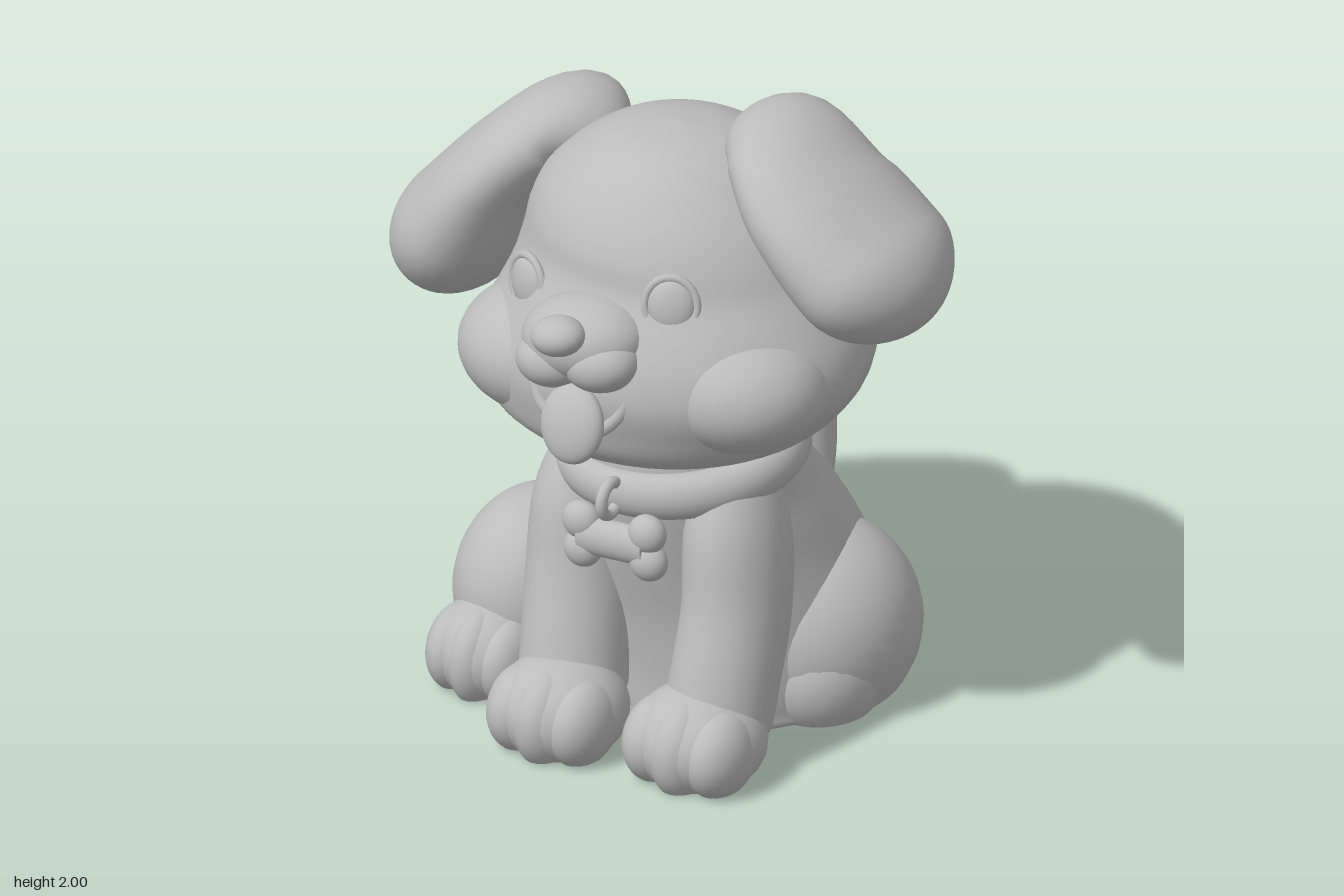
import * as THREE from 'three';

const clay = new THREE.MeshStandardMaterial({ color: 0xbcbcbc });
clay.name = 'clay grey';

function add(parent, name, geometry) {
  const mesh = new THREE.Mesh(geometry, clay);
  mesh.name = name;
  parent.add(mesh);
  return mesh;
}

// Smooth skin through rows of [x, y, z, radiusA, radiusB].
// side: direction of radiusA; upright: keep rings level; cap: share of the length rounded off at each end.
function skin(rows, { side = [1, 0, 0], upright = false, cap = 0, steps = 40, sides = 40 } = {}) {
  const spline = new THREE.CubicInterpolant(rows.map((_, i) => i), rows.flat(), 5);
  const last = rows.length - 1;
  const at = (t) => [...spline.evaluate(THREE.MathUtils.clamp(t, 0, 1) * last)];
  const positions = [], index = [];
  for (let i = 0; i <= steps; i++) {
    const t = (1 - Math.cos((Math.PI * i) / steps)) / 2;
    const [x, y, z, ra, rb] = at(t);
    const p = at(t - 0.01), q = at(t + 0.01);
    const tangent = upright ? new THREE.Vector3(0, 1, 0)
      : new THREE.Vector3(q[0] - p[0], q[1] - p[1], q[2] - p[2]).normalize();
    const a = new THREE.Vector3(...side);
    a.addScaledVector(tangent, -a.dot(tangent)).normalize();
    const b = new THREE.Vector3().crossVectors(tangent, a);
    const end = Math.min(t, 1 - t);
    const round = cap && end < cap ? Math.sqrt(Math.max(0, 1 - (1 - end / cap) ** 2)) : 1;
    for (let j = 0; j < sides; j++) {
      const angle = (j / sides) * Math.PI * 2;
      const v = new THREE.Vector3(x, y, z)
        .addScaledVector(a, Math.cos(angle) * Math.max(0, ra) * round)
        .addScaledVector(b, Math.sin(angle) * Math.max(0, rb) * round);
      positions.push(v.x, v.y, v.z);
      if (i < steps) {
        const k = i * sides + j, n = i * sides + ((j + 1) % sides);
        index.push(k, n, k + sides, n, n + sides, k + sides);
      }
    }
  }
  const geometry = new THREE.BufferGeometry();
  geometry.setAttribute('position', new THREE.Float32BufferAttribute(positions, 3));
  geometry.setIndex(index);
  geometry.computeVertexNormals();
  return geometry;
}

// Ellipsoid; grounded ones are cut flat at y = 0.
function blob(center, radii, grounded = false) {
  const g = new THREE.SphereGeometry(1, 32, 24).scale(...radii).translate(...center);
  if (grounded) {
    const p = g.attributes.position;
    for (let i = 0; i < p.count; i++) p.setY(i, Math.max(0, p.getY(i)));
  }
  return g;
}

// Paw with three soft toes
function addPaw(parent, name, x, z, width) {
  const paw = new THREE.Group();
  paw.name = name;
  add(paw, 'pawPad', blob([x, 0.115, z], [width, 0.165, 0.2], true));
  for (const s of [-1, 0, 1]) {
    add(paw, 'toe', blob([x + s * width * 0.5, 0.11, z + 0.07 - Math.abs(s) * 0.02],
      [width * 0.49, 0.155 - Math.abs(s) * 0.02, 0.14], true));
  }
  parent.add(paw);
}

function addHead(model) {
  const head = new THREE.Group();
  head.name = 'head';
  model.add(head);

  // Round skull with full cheeks, the left cheek a little higher
  add(head, 'skull', skin([
    [0.02, 0.915, 0.31, 0, 0], [0.02, 0.94, 0.31, 0.34, 0.31], [0.02, 1.0, 0.315, 0.5, 0.415],
    [0.035, 1.1, 0.295, 0.585, 0.475], [0.06, 1.2, 0.285, 0.605, 0.505], [0.08, 1.3, 0.262, 0.58, 0.51],
    [0.08, 1.4, 0.23, 0.54, 0.497], [0.065, 1.5, 0.202, 0.505, 0.468], [0.05, 1.6, 0.205, 0.465, 0.44],
    [0.04, 1.7, 0.215, 0.4, 0.375], [0.04, 1.8, 0.225, 0.28, 0.27], [0.04, 1.855, 0.23, 0.165, 0.16],
    [0.04, 1.88, 0.23, 0, 0],
  ], { upright: true, steps: 70, sides: 64 }));
  add(head, 'rightCheek', blob([-0.26, 1.17, 0.47], [0.275, 0.2, 0.255]));
  add(head, 'leftCheek', blob([0.39, 1.22, 0.47], [0.27, 0.2, 0.255]));

  // Tilted face
  const face = new THREE.Group();
  face.name = 'face';
  face.position.set(0.06, 0.95, 0);
  face.rotation.z = 0.15;
  head.add(face);

  // Muzzle, nose and tongue
  add(face, 'muzzle', blob([0, 0.42, 0.69], [0.2, 0.13, 0.165]));
  for (const s of [-1, 1]) add(face, 'upperLip', blob([s * 0.08, 0.37, 0.75], [0.12, 0.09, 0.105]));
  add(face, 'nose', blob([0, 0.48, 0.835], [0.085, 0.06, 0.073]));
  const tongue = add(face, 'tongue', blob([0, 0, 0], [0.105, 0.12, 0.05]));
  tongue.position.set(0, 0.195, 0.825);
  tongue.rotation.x = -0.3;
  const smile = new THREE.CatmullRomCurve3([[-0.18, 0.32, 0.735], [-0.13, 0.21, 0.765], [0, 0.14, 0.78],
    [0.13, 0.21, 0.77], [0.18, 0.32, 0.745]].map((p) => new THREE.Vector3(...p)));
  add(face, 'lowerLip', new THREE.TubeGeometry(smile, 32, 0.02, 10));

  // Eyes with raised rims
  for (const s of [-1, 1]) {
    const eye = new THREE.Group();
    eye.name = s > 0 ? 'leftEye' : 'rightEye';
    eye.position.set(0.012 + s * 0.258, 0.517, 0.612 + s * 0.018);
    eye.rotation.set(-0.15, s * 0.4, 0);
    add(eye, 'eyeball', blob([0, 0, 0], [0.07, 0.08, 0.03]));
    add(eye, 'eyelid', new THREE.TorusGeometry(0.078, 0.012, 10, 36).scale(1, 1.1, 1));
    face.add(eye);
  }
}

function addCollar(model) {
  const collar = new THREE.Group();
  collar.name = 'collar';
  const band = add(collar, 'band', new THREE.TorusGeometry(0.33, 0.062, 20, 64)
    .scale(1, 0.92, 1.2).rotateX(Math.PI / 2));
  band.position.set(0.08, 0.862, 0.285);
  band.rotation.set(0.13, 0, 0.07);
  const ring = add(collar, 'tagRing', new THREE.TorusGeometry(0.05, 0.018, 12, 32).rotateY(Math.PI / 2));
  ring.position.set(0.06, 0.83, 0.66);

  // Bone-shaped tag
  const tag = new THREE.Group();
  tag.name = 'boneTag';
  tag.position.set(0.08, 0.7, 0.665);
  tag.rotation.z = 0.05;
  add(tag, 'boneBar', new THREE.CylinderGeometry(0.06, 0.06, 0.22, 24).rotateZ(Math.PI / 2).scale(1, 1, 0.75));
  for (const sx of [-1, 1]) for (const sy of [-1, 1])
    add(tag, 'boneKnob', blob([sx * 0.112, sy * 0.045, 0], [0.06, 0.06, 0.047]));
  collar.add(tag);
  model.add(collar);
}

export function createModel() {
  const model = new THREE.Group();
  model.name = 'sittingPuppy';

  // Body, flat underneath
  add(model, 'body', skin([
    [0, 0, 0, 0, 0], [0, 0, 0, 0.26, 0.24], [0, 0.002, 0.01, 0.5, 0.46], [0, 0.06, 0.005, 0.54, 0.485],
    [0, 0.18, 0, 0.56, 0.49], [0, 0.35, 0.03, 0.535, 0.475], [0.01, 0.5, 0.08, 0.48, 0.455],
    [0.03, 0.62, 0.135, 0.425, 0.425], [0.05, 0.75, 0.205, 0.365, 0.38], [0.07, 0.88, 0.27, 0.33, 0.325],
    [0.07, 1.0, 0.28, 0.3, 0.3],
  ], { upright: true, steps: 64, sides: 56 }));

  // Front legs
  add(model, 'rightFrontLeg', skin([[-0.13, 0.92, 0.37, 0.1, 0.12], [-0.165, 0.7, 0.4, 0.15, 0.19],
    [-0.155, 0.47, 0.46, 0.16, 0.185], [-0.13, 0.25, 0.54, 0.16, 0.17], [-0.11, 0.06, 0.6, 0.165, 0.16]], { cap: 0.14 }));
  add(model, 'leftFrontLeg', skin([[0.28, 0.92, 0.37, 0.1, 0.12], [0.335, 0.7, 0.4, 0.145, 0.19],
    [0.365, 0.47, 0.45, 0.155, 0.185], [0.37, 0.25, 0.53, 0.16, 0.17], [0.36, 0.06, 0.58, 0.165, 0.16]], { cap: 0.14 }));
  addPaw(model, 'rightFrontPaw', -0.095, 0.675, 0.2);
  addPaw(model, 'leftFrontPaw', 0.35, 0.64, 0.205);

  // Hind legs
  add(model, 'rightHaunch', blob([-0.44, 0.24, 0.23], [0.24, 0.295, 0.29], true));
  addPaw(model, 'rightHindPaw', -0.465, 0.44, 0.175);
  add(model, 'leftHaunch', blob([0.365, 0.22, -0.01], [0.305, 0.32, 0.32], true));
  add(model, 'leftHindFoot', blob([0.44, 0.13, 0.09], [0.19, 0.2, 0.21], true));

  // Curled tail
  add(model, 'tail', skin([[-0.1, 0.18, -0.36, 0.14, 0.14], [-0.14, 0.16, -0.54, 0.15, 0.15],
    [-0.19, 0.26, -0.7, 0.17, 0.155], [-0.23, 0.43, -0.76, 0.185, 0.15], [-0.25, 0.6, -0.72, 0.19, 0.145],
    [-0.26, 0.74, -0.68, 0.17, 0.13]], { cap: 0.15 }));

  addCollar(model);
  addHead(model);

  // Floppy ears, the left one lifted
  add(model, 'rightEar', skin([[-0.22, 1.7, 0.13, 0.14, 0.1], [-0.4, 1.71, 0.12, 0.23, 0.13],
    [-0.56, 1.565, 0.16, 0.3, 0.15], [-0.695, 1.36, 0.18, 0.31, 0.19], [-0.86, 1.14, 0.19, 0.26, 0.2]],
  { side: [0, 0, 1], cap: 0.24 }));
  add(model, 'leftEar', skin([[0.19, 1.81, 0.15, 0.14, 0.1], [0.36, 1.87, 0.18, 0.22, 0.13],
    [0.54, 1.75, 0.25, 0.3, 0.165], [0.72, 1.6, 0.27, 0.31, 0.19], [0.91, 1.47, 0.28, 0.26, 0.2]],
  { side: [0, 0, 1], cap: 0.24 }));

  return model;
}
